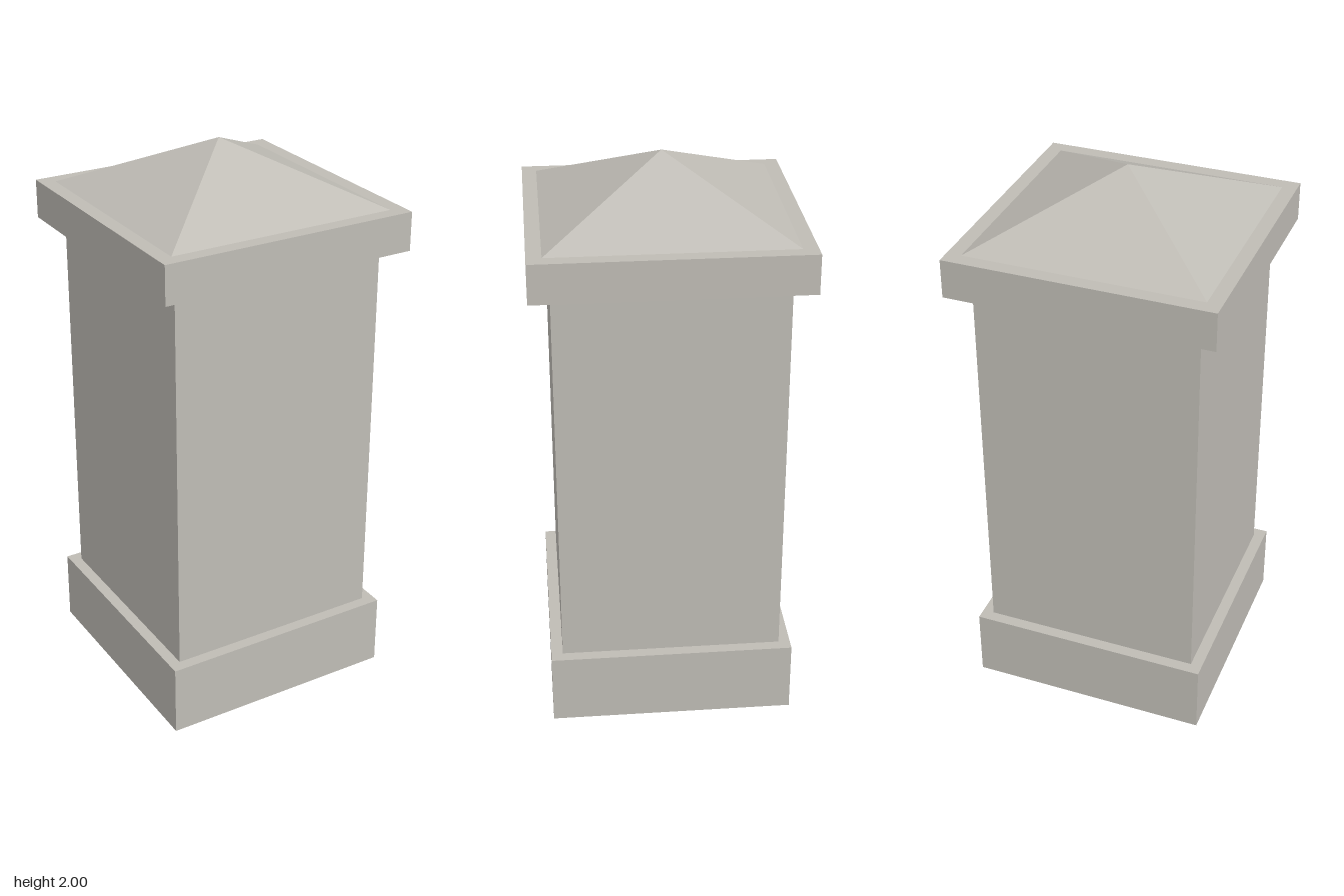
import * as THREE from 'three';

export function createModel() {
  const model = new THREE.Group();
  model.name = 'stonePillar';

  const stone = new THREE.MeshStandardMaterial({ color: 0xbfbcb5 });
  stone.name = 'pale stone';

  // Square block spanning two heights
  function block(name, width, bottom, top) {
    const mesh = new THREE.Mesh(new THREE.BoxGeometry(width, top - bottom, width), stone);
    mesh.name = name;
    mesh.position.y = (bottom + top) / 2;
    model.add(mesh);
  }

  block('plinth', 0.866, 0, 0.26);
  block('shaft', 0.784, 0.26, 1.66);
  block('capSlab', 0.928, 1.66, 1.797);

  // Four-sided pyramid roof, turned so its sides line up with the slab
  const roofHalf = 0.413;
  const roofHeight = 2 - 1.797;
  const roofGeometry = new THREE.ConeGeometry(roofHalf * Math.SQRT2, roofHeight, 4, 1, true)
    .rotateY(Math.PI / 4)
    .toNonIndexed();
  roofGeometry.computeVertexNormals(); // flat faces
  const roof = new THREE.Mesh(roofGeometry, stone);
  roof.name = 'pyramidRoof';
  roof.position.y = 1.797 + roofHeight / 2;
  model.add(roof);

  return model;
}
